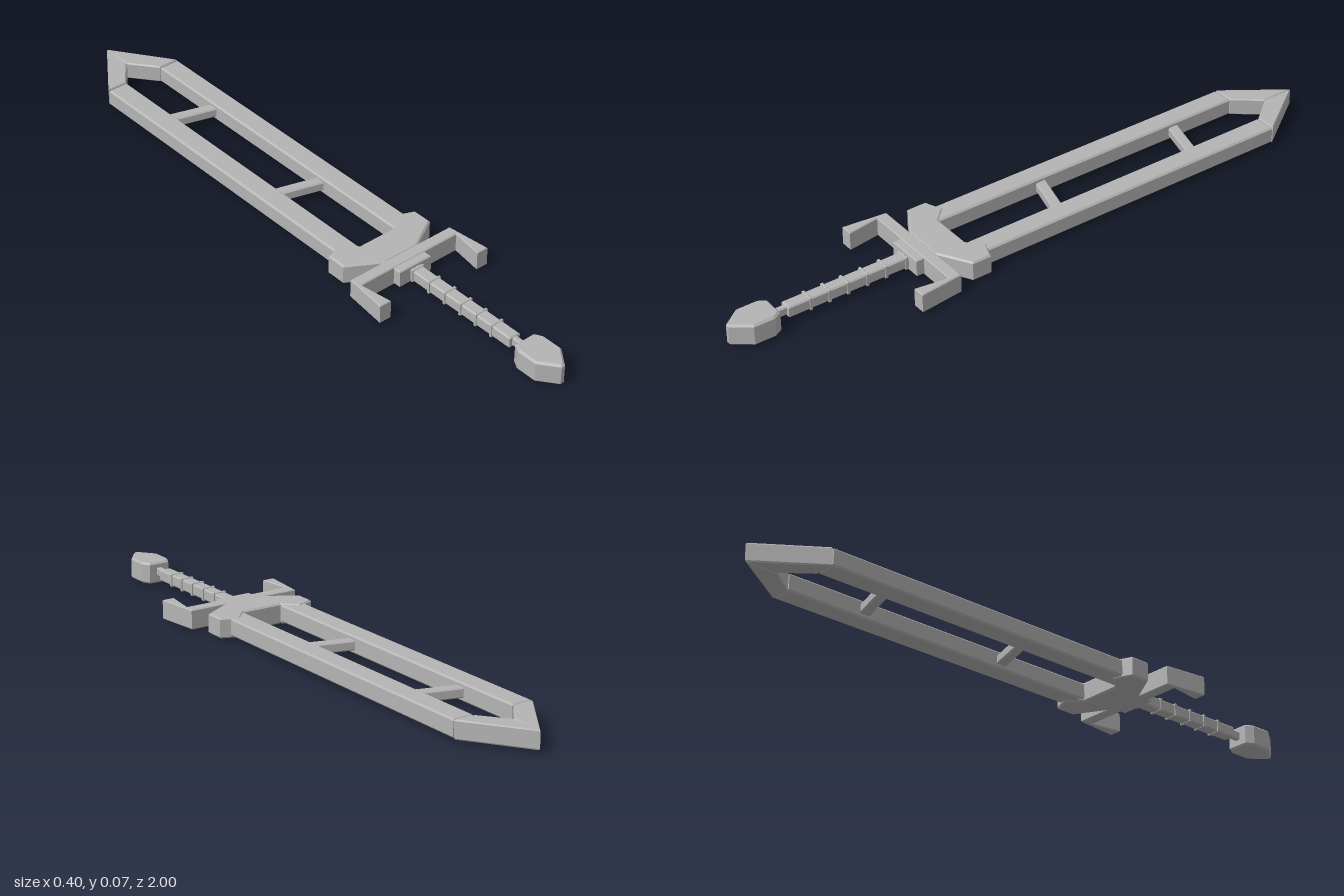
import * as THREE from 'three';

const steel = new THREE.MeshStandardMaterial({ color: 0xb4b4b4 });
steel.name = 'steel grey';

// Bevelled plate: outline given as [x, z] pairs, filling heights y0 to y1
function plate(name, points, y0, y1, bevel = 0.005) {
  const shape = new THREE.Shape(points.map(([x, z]) => new THREE.Vector2(x, z)));
  const geometry = new THREE.ExtrudeGeometry(shape, {
    depth: y1 - y0 - 2 * bevel, bevelEnabled: true, bevelSegments: 1,
    bevelSize: bevel, bevelThickness: bevel, bevelOffset: -bevel,
  });
  geometry.rotateX(Math.PI / 2).translate(0, y1 - bevel, 0);
  const mesh = new THREE.Mesh(geometry, steel);
  mesh.name = name;
  return mesh;
}

const rect = (w, z0, z1) => [[-w, z0], [w, z0], [w, z1], [-w, z1]];
const flip = (points, side) => points.map(([x, z]) => [x * side, z]);
// Completes a half outline across x = 0
const mirrored = (half) => [...half, ...flip(half, -1).reverse()];

export function createModel() {
  const model = new THREE.Group();
  model.name = 'sword';

  // Blade: a rail and half of the point on each side
  for (const side of [1, -1]) {
    const label = side > 0 ? 'left' : 'right';
    model.add(plate(label + 'BladeRail',
      flip([[0.065, -0.81], [0.132, -0.81], [0.132, 0.3], [0.065, 0.3]], side), 0.01, 0.064));
    model.add(plate(label + 'BladeTip',
      flip([[0, -1], [0.132, -0.813], [0.065, -0.813], [0, -0.895]], side), 0.008, 0.064, 0.004));
  }

  // Slanted struts bridging the open blade
  for (const z of [-0.587, -0.09]) {
    model.add(plate('bladeStrut',
      [[-0.07, z - 0.02], [0.07, z + 0.02], [0.07, z + 0.055], [-0.07, z + 0.015]], 0.022, 0.052, 0.004));
  }

  // Collar holding the blade
  model.add(plate('bladeCollar', mirrored([
    [0.065, 0.27], [0.106, 0.227], [0.162, 0.25], [0.162, 0.312], [0.06, 0.372],
  ]), 0.004, 0.067));

  // Crossguard with hooked ends, and the boss behind it
  model.add(plate('crossguard', mirrored([
    [0.185, 0.368], [0.2, 0.507], [0.161, 0.507], [0.176, 0.405],
  ]), 0.005, 0.066, 0.003));
  model.add(plate('guardBoss', rect(0.058, 0.395, 0.43), 0.009, 0.063, 0.003));

  // Grip with binding rings
  model.add(plate('grip', rect(0.019, 0.42, 0.82), 0.018, 0.054, 0.004));
  for (const z of [0.438, 0.505, 0.567, 0.63, 0.69, 0.75]) {
    model.add(plate('gripRing', rect(0.022, z - 0.004, z + 0.004), 0.015, 0.057, 0.002));
  }

  // Neck and pommel
  model.add(plate('pommelNeck', rect(0.009, 0.81, 0.87), 0.024, 0.05, 0.003));
  model.add(plate('pommel', mirrored([
    [0.034, 0.855], [0.048, 0.88], [0.048, 0.945], [0.006, 1],
  ]), 0, 0.068, 0.006));

  return model;
}
